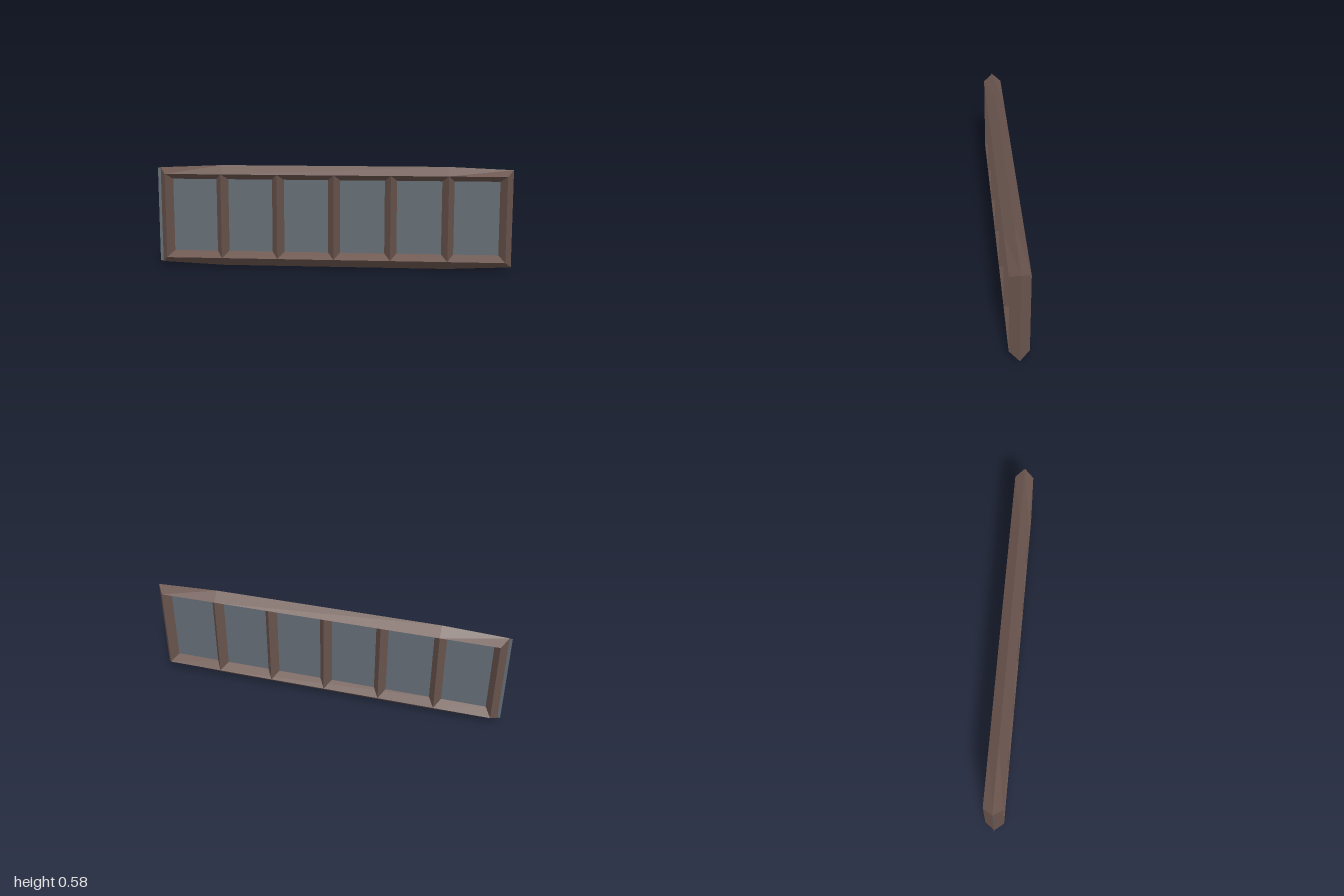
import * as THREE from 'three';

const frameMat = new THREE.MeshStandardMaterial({ color: 0x6b554e });
frameMat.name = 'brown frame';
const glassMat = new THREE.MeshStandardMaterial({ color: 0x626a72, side: THREE.DoubleSide });
glassMat.name = 'grey glass';

const CX = 0.007;      // frame sits slightly off the pane centre
const DEPTH = 0.052;   // ridge height either side of the pane
const PITCH = 0.318;   // spacing of the uprights
const HALF = 0.034;    // half width of an upright at the pane

// Diamond section: outer edge, front ridge, inner edge, back ridge
const section = (outer, ridge, inner) => [
  [...outer, 0], [...ridge, DEPTH], [...inner, 0], [...ridge, -DEPTH],
];

// Skin a bar through its sections with crisp flat faces
function bar(name, sections) {
  const pos = [];
  for (let i = 0; i < sections.length - 1; i++) {
    const a = sections[i], b = sections[i + 1];
    for (let j = 0; j < 4; j++) {
      const k = (j + 1) % 4;
      pos.push(...a[j], ...b[j], ...b[k], ...a[j], ...b[k], ...a[k]);
    }
  }
  const geo = new THREE.BufferGeometry();
  geo.setAttribute('position', new THREE.Float32BufferAttribute(pos, 3));
  geo.computeVertexNormals();
  const mesh = new THREE.Mesh(geo, frameMat);
  mesh.name = name;
  return mesh;
}

export function createModel() {
  const model = new THREE.Group();
  model.name = 'windowPanel';

  const frame = new THREE.Group();
  frame.name = 'frame';
  frame.position.x = CX;
  model.add(frame);

  // Heights of the outer edge at the corners, outer edge mid-span, ridge and pane opening
  const low = { corner: 0.016, mid: 0, ridge: 0.05, inner: 0.083 };
  const high = { corner: 0.561, mid: 0.576, ridge: 0.528, inner: 0.496 };
  const endX = 0.991, ridgeX = 3 * PITCH, innerX = ridgeX - HALF, bendX = 2 * PITCH;

  const corner = (s, h) => section([s * endX, h.corner], [s * ridgeX, h.ridge], [s * innerX, h.inner]);
  const bend = (s, h) => section([s * bendX, h.mid], [s * bendX, h.ridge], [s * bendX, h.inner]);

  // Mitred surround, with the rails bowed slightly outward
  frame.add(
    bar('bottomRail', [corner(-1, low), bend(-1, low), bend(1, low), corner(1, low)]),
    bar('leftStile', [corner(1, low), corner(1, high)]),
    bar('topRail', [corner(1, high), bend(1, high), bend(-1, high), corner(-1, high)]),
    bar('rightStile', [corner(-1, high), corner(-1, low)]),
  );

  // Uprights, their ends mitred into the rails
  for (let i = -2; i <= 2; i++) {
    const x = i * PITCH;
    frame.add(bar('mullion', [low, high].map((h) =>
      section([x + HALF, h.inner], [x, h.ridge], [x - HALF, h.inner]))));
  }

  // One thin pane through the whole frame, showing past the right stile
  const glass = new THREE.Mesh(new THREE.PlaneGeometry(1.98, 0.54), glassMat);
  glass.name = 'glassPane';
  glass.position.set(-0.01, 0.29, 0);
  model.add(glass);

  return model;
}
